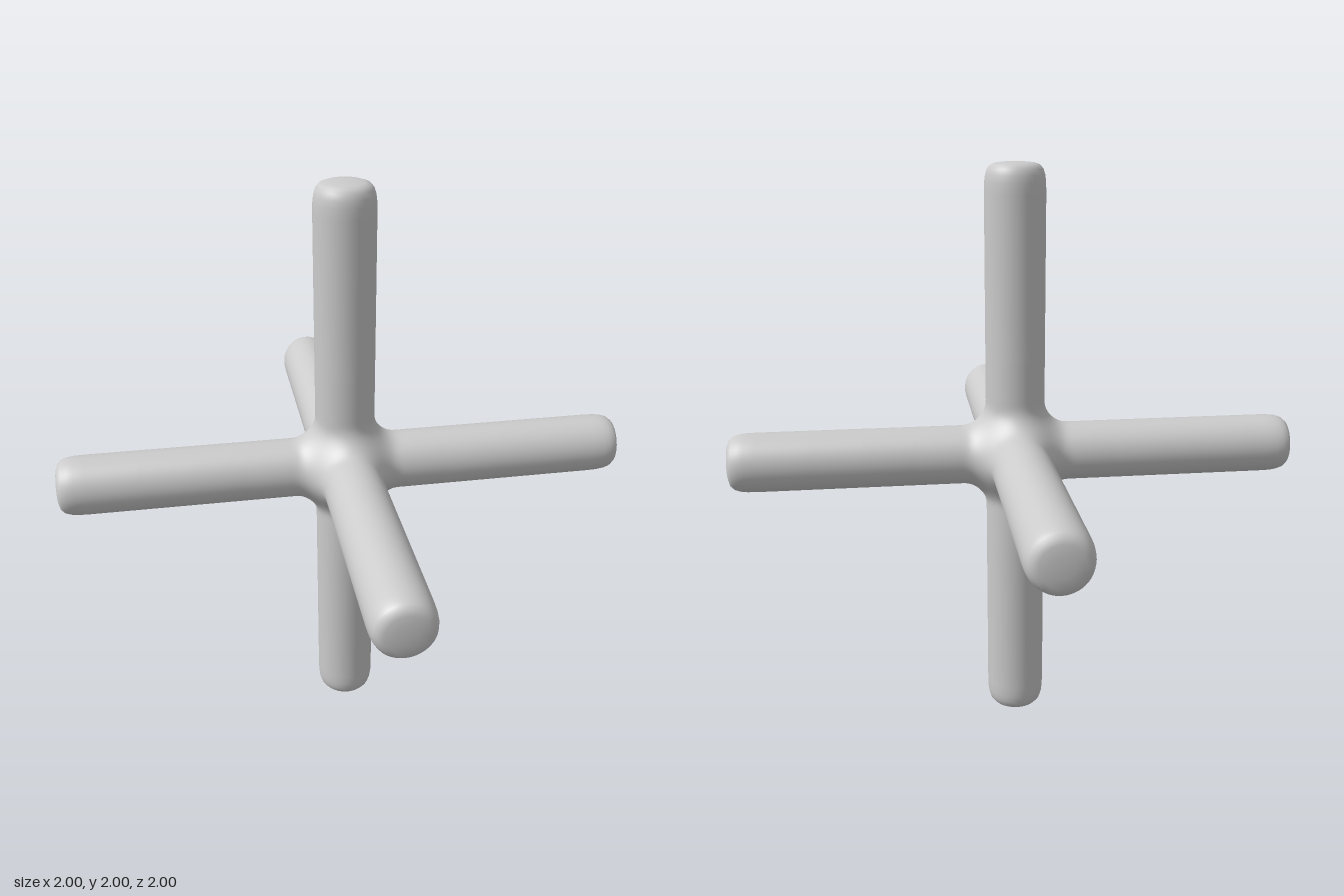
import * as THREE from 'three';
import { mergeGeometries, mergeVertices } from 'three/addons/utils/BufferGeometryUtils.js';

const R = 0.103;      // arm radius
const FILLET = 0.09;  // radius of the blend where arms meet
const HUB = 0.36;     // height where the blended hub becomes a plain arm
const SIDES = 48;
const HUB_RINGS = 20;

// Rounded end and straight shaft, as [radius, height]
const SHAFT = [[0, 1], [0.035, 0.999], [0.065, 0.996], [0.082, 0.99], [0.093, 0.977],
  [0.099, 0.958], [0.102, 0.935], [R, 0.9], [R, 0.72], [R, 0.54]];

// Negative inside three crossing cylinders joined by a round fillet
function blend(x, y, z) {
  const inset = (a, b) => Math.max(FILLET - (Math.hypot(a, b) - R), 0);
  return FILLET - Math.hypot(inset(y, z), inset(x, z), inset(x, y));
}

// Scale a direction from the centre until it reaches the blended surface
function project(x, y, z) {
  let lo = 0, hi = 3;
  for (let i = 0; i < 36; i++) {
    const t = (lo + hi) / 2;
    if (blend(x * t, y * t, z * t) < 0) lo = t; else hi = t;
  }
  return [x * lo, y * lo, z * lo];
}

// One arm along +y, ending at the seam it shares with its four neighbours
function armGeometry() {
  const positions = [], index = [];
  const rings = SHAFT.length + HUB_RINGS + 1;
  for (let i = 0; i < rings; i++) {
    for (let j = 0; j <= SIDES; j++) {
      const a = (j / SIDES) * Math.PI * 2;
      const c = Math.cos(a), s = Math.sin(a);
      if (i < SHAFT.length) {
        const [r, y] = SHAFT[i];
        positions.push(r * c, y, r * s);
      } else {
        const t = 1 - (i - SHAFT.length) / HUB_RINGS;
        const seam = R * Math.max(Math.abs(c), Math.abs(s));
        positions.push(...project(R * c, seam + (HUB - seam) * t ** 1.5, R * s));
      }
    }
  }
  const row = SIDES + 1;
  for (let i = 0; i < rings - 1; i++) {
    for (let j = 0; j < SIDES; j++) {
      const a = i * row + j, b = a + 1, c = a + row, d = c + 1;
      if (i > 0) index.push(a, b, c);
      index.push(b, d, c);
    }
  }
  const geometry = new THREE.BufferGeometry();
  geometry.setAttribute('position', new THREE.Float32BufferAttribute(positions, 3));
  geometry.setIndex(index);
  return geometry;
}

export function createModel() {
  const group = new THREE.Group();
  group.name = 'sixArmedCross';

  // Turn copies of the arm to all six directions and weld them into one smooth skin
  const H = Math.PI / 2;
  const turns = [[0, 0], [2 * H, 0], [H, 0], [-H, 0], [0, H], [0, -H]];
  const arms = turns.map(([x, z]) => armGeometry().rotateX(x).rotateZ(z));
  const skin = mergeVertices(mergeGeometries(arms), 1e-5);
  skin.computeVertexNormals();

  const mesh = new THREE.Mesh(skin, new THREE.MeshStandardMaterial({ color: 0xcccccc }));
  mesh.name = 'blendedArms';
  mesh.position.y = 1;
  group.add(mesh);
  return group;
}
